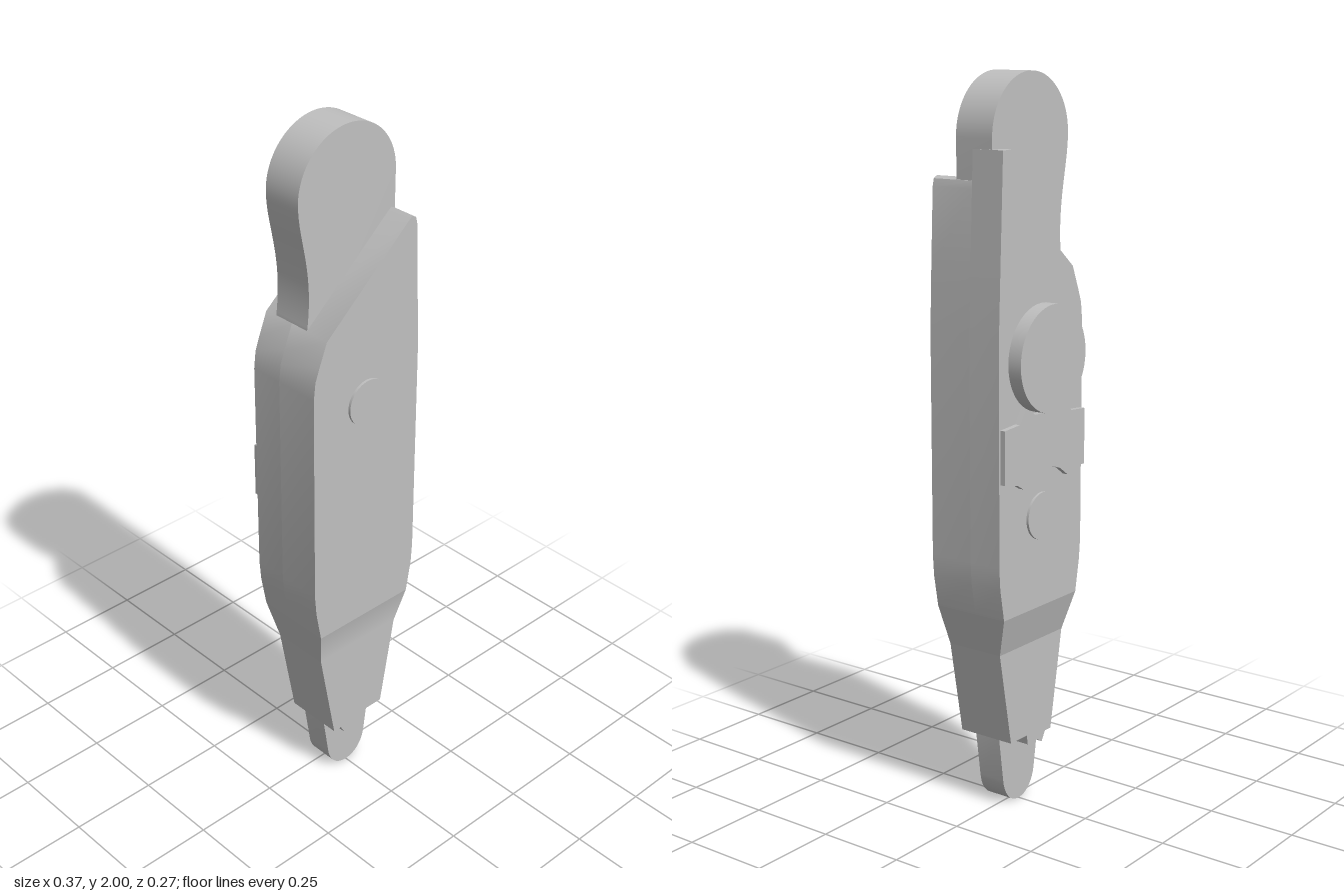
import * as THREE from 'three';
import { toCreasedNormals } from 'three/addons/utils/BufferGeometryUtils.js';

export function createModel() {
  const model = new THREE.Group();
  const grey = new THREE.MeshStandardMaterial({ color: 0xc0c0c0 });
  grey.name = 'light grey';

  const add = (name, geometry) => {
    const mesh = new THREE.Mesh(geometry, grey);
    mesh.name = name;
    model.add(mesh);
  };
  // Extrudes a front-facing outline from z0 to z1, smooth around gentle bends
  const slab = (name, outline, z0, z1) => {
    const shape = outline instanceof THREE.Shape
      ? outline
      : new THREE.Shape(outline.map(([x, y]) => new THREE.Vector2(x, y)));
    const geometry = new THREE.ExtrudeGeometry(shape, {
      depth: z1 - z0, bevelEnabled: false, curveSegments: 24,
    });
    add(name, toCreasedNormals(geometry.translate(0, 0, z0), 0.5));
  };
  // Round button lying on a face
  const disc = (name, radius, y, z0, z1) => {
    const geometry = new THREE.CylinderGeometry(radius, radius, z1 - z0, 48);
    add(name, geometry.rotateX(Math.PI / 2).translate(0, y, (z0 + z1) / 2));
  };

  // Rounded head with a concave finger notch on the right
  const head = new THREE.Shape();
  head.moveTo(0.163, 1.837);
  head.absarc(0, 1.837, 0.163, 0, Math.PI, false);
  head.bezierCurveTo(-0.163, 1.74, -0.11, 1.65, -0.139, 1.48);
  head.lineTo(-0.12, 1.40);
  head.lineTo(0.155, 1.40);
  head.lineTo(0.162, 1.72);
  head.closePath();
  slab('head', head, -0.06, 0.055);

  // Narrow rounded tip
  const tip = new THREE.Shape();
  tip.moveTo(0.09, 0.21);
  tip.lineTo(0.09, 0.30);
  tip.lineTo(-0.09, 0.30);
  tip.lineTo(-0.09, 0.20);
  tip.lineTo(-0.071, 0.075);
  tip.bezierCurveTo(-0.058, -0.025, 0.058, -0.025, 0.071, 0.075);
  tip.closePath();
  slab('tip', tip, -0.022, 0.058);

  // Main body: two halves share the side outline, their top edges differ
  const left = [
    [-0.139, 1.49], [-0.165, 1.425], [-0.178, 1.39], [-0.184, 1.34],
    [-0.184, 0.73], [-0.179, 0.67], [-0.163, 0.58],
  ];
  const right = [
    [0.163, 0.58], [0.179, 0.67], [0.183, 0.73], [0.183, 1.34], [0.177, 1.50],
  ];
  slab('frontBody', [...left, ...right,
    [0.168, 1.71], [0.163, 1.73], [0.15, 1.737], [0.138, 1.728]], 0, 0.129);
  slab('backBody', [...left, ...right,
    [0.165, 1.81], [0.122, 1.81], [0.116, 1.766], [0.085, 1.745], [0.122, 1.71]], -0.096, 0);

  // Tapered shoulder joining the thick body to the thinner nose
  const shoulder = new THREE.BoxGeometry(1, 1, 1);
  const p = shoulder.attributes.position;
  for (let i = 0; i < p.count; i++) {
    const top = p.getY(i) > 0;
    const back = top ? -0.096 : -0.065, front = top ? 0.129 : 0.105;
    p.setXYZ(i, Math.sign(p.getX(i)) * (top ? 0.163 : 0.141),
      top ? 0.58 : 0.47, p.getZ(i) > 0 ? front : back);
  }
  shoulder.computeVertexNormals();
  // Let the front slope blend softly into the nose
  const n = shoulder.attributes.normal;
  for (let i = 0; i < n.count; i++) {
    if (n.getZ(i) > 0.9 && p.getY(i) < 0.5) n.setXYZ(i, 0, 0, 1);
  }
  add('shoulder', shoulder);

  // Nose with a stepped lower edge
  slab('nose', [[-0.141, 0.47], [-0.091, 0.19], [-0.065, 0.19], [-0.05, 0.163],
    [-0.03, 0.175], [0.015, 0.175], [0.02, 0.203], [0.092, 0.203], [0.141, 0.47]],
  -0.065, 0.105);

  // Raised plate on the back, curved around the large button
  slab('backPlate', [[-0.178, 0.945], [-0.125, 0.945], [-0.1, 0.93], [-0.065, 0.955],
    [-0.03, 0.967], [0.03, 0.967], [0.065, 0.955], [0.1, 0.93], [0.125, 0.945],
    [0.178, 0.955], [0.178, 1.10], [0.115, 1.105], [0.09, 1.14], [0.045, 1.12],
    [-0.045, 1.12], [-0.09, 1.14], [-0.115, 1.105], [-0.178, 1.10]], -0.111, -0.09);

  // Pivot buttons
  disc('backButton', 0.144, 1.265, -0.136, -0.09);
  disc('backPin', 0.065, 0.835, -0.103, -0.09);
  disc('frontPin', 0.065, 1.265, 0.12, 0.136);

  return model;
}
